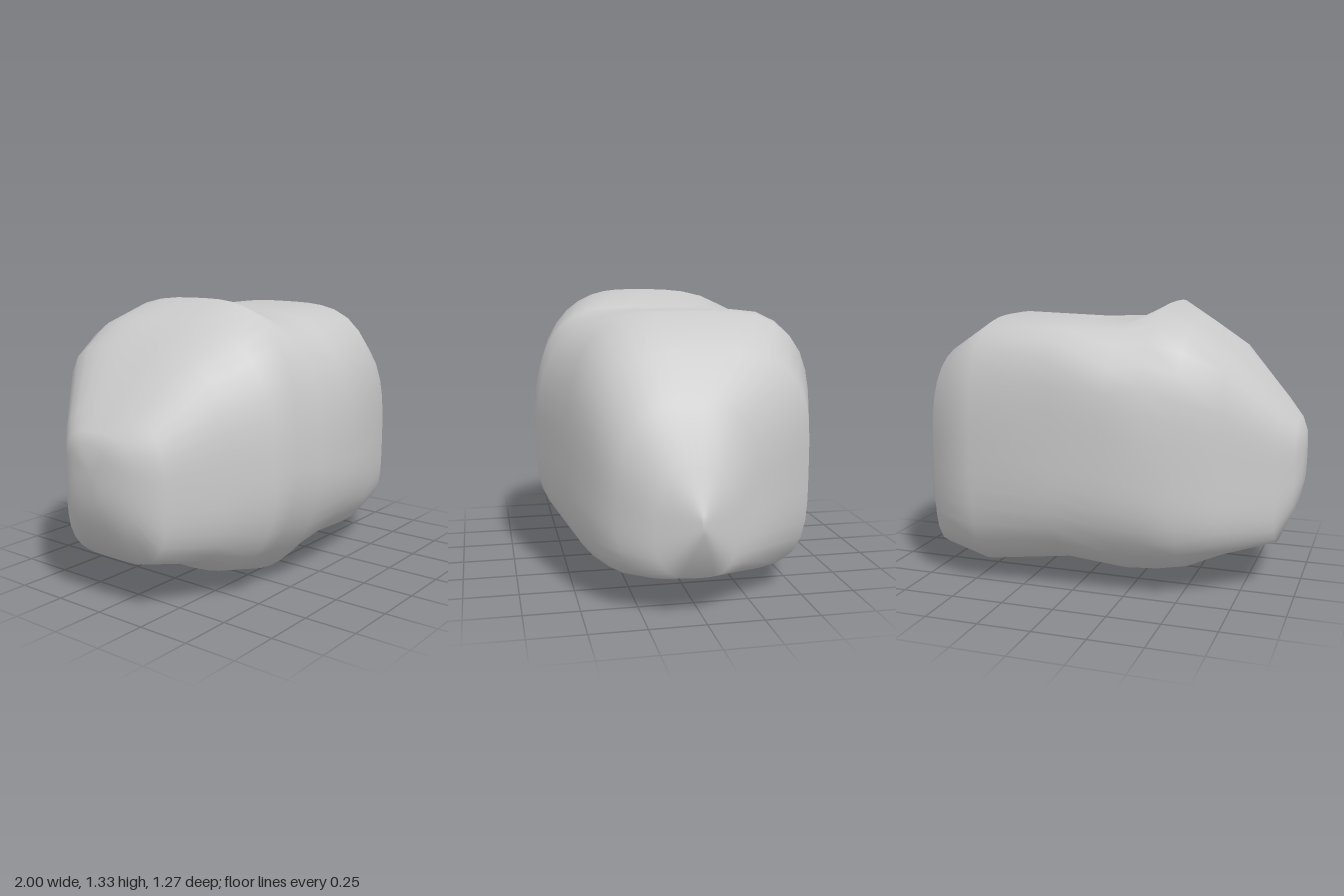
import * as THREE from 'three';

// Cross-sections along x. Each quadrant of a section is a superellipse.
// x, top, bottom, front, back, zMid, yFront, yBack, then squareness of
// the upper front, upper back and lower quadrants
const SECTIONS = [
  [-1.00, 0.75, 0.50, 0.06, -0.13, -0.03, 0.66, 0.64, 2.2, 2.8, 2.5],
  [-0.97, 0.80, 0.38, 0.20, -0.21, 0.00, 0.62, 0.58, 2.4, 3.4, 3.0],
  [-0.90, 0.88, 0.22, 0.31, -0.29, 0.01, 0.58, 0.55, 2.6, 4.0, 3.8],
  [-0.68, 1.13, 0.17, 0.465, -0.49, 0.02, 0.60, 0.55, 2.7, 5.0, 3.2],
  [-0.50, 1.24, 0.08, 0.59, -0.58, 0.06, 0.60, 0.55, 2.6, 4.4, 2.5],
  [-0.35, 1.33, 0.03, 0.60, -0.61, 0.10, 0.60, 0.55, 2.6, 3.2, 2.0],
  [-0.19, 1.245, 0.0, 0.62, -0.63, 0.17, 0.58, 0.58, 2.8, 5.5, 1.9],
  [0.06, 1.245, 0.08, 0.63, -0.64, 0.02, 0.57, 0.62, 2.8, 6.5, 2.4],
  [0.46, 1.26, 0.045, 0.52, -0.62, -0.04, 0.56, 0.64, 3.4, 3.4, 3.1],
  [0.69, 1.12, 0.11, 0.445, -0.54, -0.03, 0.52, 0.62, 3.2, 3.0, 4.0],
  [0.84, 0.90, 0.15, 0.35, -0.26, 0.02, 0.46, 0.52, 2.9, 2.7, 3.6],
  [0.93, 0.66, 0.18, 0.21, -0.14, 0.02, 0.42, 0.43, 2.5, 2.5, 2.9],
  [1.00, 0.47, 0.38, 0.03, 0.00, 0.02, 0.43, 0.43, 2.0, 2.0, 2.0],
];
const SIDES = 48;

function sectionPoint(s, angle) {
  const [x, top, bottom, front, back, zMid, yFront, yBack, nTF, nTB, nB] = s;
  const c = Math.cos(angle), h = Math.sin(angle);
  const isFront = c >= 0, isTop = h >= 0;
  const n = isTop ? (isFront ? nTF : nTB) : (isFront ? nB : nB + 0.6);
  const r = (Math.abs(c) ** n + Math.abs(h) ** n) ** (-1 / n);
  const yMid = isFront ? yFront : yBack;
  const y = yMid + r * Math.abs(h) * ((isTop ? top : bottom) - yMid);
  const z = zMid + r * Math.abs(c) * ((isFront ? front : back) - zMid);
  return [x, y, z];
}

function rockGeometry() {
  const positions = [], index = [];
  for (const s of SECTIONS) {
    for (let j = 0; j < SIDES; j++) {
      positions.push(...sectionPoint(s, (j / SIDES) * Math.PI * 2));
    }
  }
  // skin between neighbouring sections
  for (let i = 0; i < SECTIONS.length - 1; i++) {
    for (let j = 0; j < SIDES; j++) {
      const k = (j + 1) % SIDES;
      const a = i * SIDES + j, b = a + SIDES;
      const d = i * SIDES + k, e = d + SIDES;
      index.push(a, b, d, b, e, d);
    }
  }
  // close both ends
  const last = (SECTIONS.length - 1) * SIDES;
  const start = positions.length / 3;
  for (const s of [SECTIONS[0], SECTIONS[SECTIONS.length - 1]]) {
    positions.push(s[0], (s[1] + s[2]) / 2, s[5]);
  }
  for (let j = 0; j < SIDES; j++) {
    const k = (j + 1) % SIDES;
    index.push(start, j, k, start + 1, last + k, last + j);
  }
  const geometry = new THREE.BufferGeometry();
  geometry.setAttribute('position', new THREE.Float32BufferAttribute(positions, 3));
  geometry.setIndex(index);
  geometry.computeVertexNormals();
  return geometry;
}

export function createModel() {
  const group = new THREE.Group();
  group.name = 'boulder';
  const rock = new THREE.Mesh(rockGeometry(), new THREE.MeshStandardMaterial({ color: 0xcccccc }));
  rock.name = 'rock';
  group.add(rock);
  return group;
}
